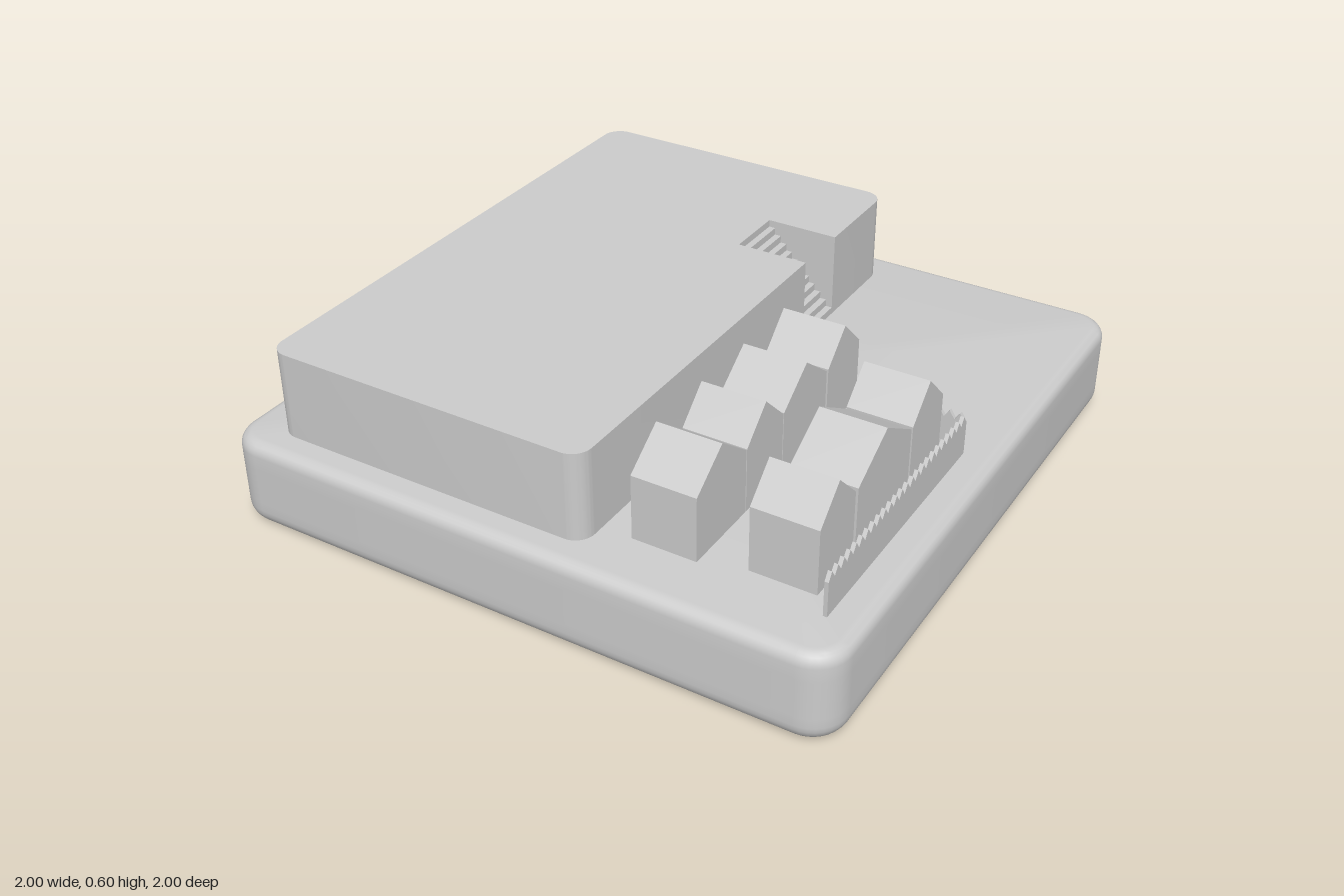
import * as THREE from 'three';
import { toCreasedNormals } from 'three/addons/utils/BufferGeometryUtils.js';

const BASE_TOP = 0.295;
const PLATEAU_TOP = 0.575;
const material = new THREE.MeshStandardMaterial({ color: 0xcccccc });

function addMesh(parent, name, geometry) {
  const mesh = new THREE.Mesh(geometry, material);
  mesh.name = name;
  parent.add(mesh);
  return mesh;
}

const extrude = (shape, depth) =>
  new THREE.ExtrudeGeometry(shape, { depth, bevelEnabled: false, curveSegments: 8 });

const shapeFrom = (points) => new THREE.Shape(points.map(([x, y]) => new THREE.Vector2(x, y)));

// Rounded slab lofted from rounded-square rings, with a long slot sunk into the back
function baseGeometry() {
  const corner = 0.11, slotX = 0.85, slotLow = 0.09, slotHigh = 0.21, slotZ = -0.94, steps = 8;
  const layers = [];
  for (let i = 0; i <= 6; i++) {
    const a = (i / 6) * Math.PI / 2;
    layers.push([0.06 * (1 - Math.sin(a)), 0.06 * (1 - Math.cos(a))]);
  }
  layers.push([0, slotLow], [0, slotHigh]);
  for (let i = 0; i <= 6; i++) {
    const a = (i / 6) * Math.PI / 2;
    layers.push([0.04 * (1 - Math.cos(a)), BASE_TOP - 0.04 * (1 - Math.sin(a))]);
  }

  const ring = ([inset, y]) => {
    const points = [];
    for (let c = 0; c < 4; c++) {
      const cx = c === 0 || c === 3 ? 1 : -1, cz = c < 2 ? 1 : -1;
      for (let i = 0; i <= steps; i++) {
        const a = (c + i / steps) * Math.PI / 2;
        points.push([cx * (1 - corner) + (corner - inset) * Math.cos(a), y,
          cz * (1 - corner) + (corner - inset) * Math.sin(a)]);
      }
      if (c === 2) points.push([-slotX, y, -1 + inset], [slotX, y, -1 + inset]);
    }
    return points;
  };
  const rings = layers.map(ring);
  const n = rings[0].length, slotIndex = 3 * (steps + 1);
  const positions = [];
  const triangle = (a, b, c) => positions.push(...a, ...b, ...c);
  const quad = (a, b, c, d) => { triangle(a, b, c); triangle(a, c, d); };

  for (let k = 0; k < rings.length - 1; k++) {
    for (let i = 0; i < n; i++) {
      if (i === slotIndex && layers[k][1] === slotLow) continue;
      const j = (i + 1) % n;
      quad(rings[k][i], rings[k + 1][i], rings[k + 1][j], rings[k][j]);
    }
  }
  // flat underside and top
  const last = rings[rings.length - 1];
  for (let i = 0; i < n; i++) {
    const j = (i + 1) % n;
    triangle([0, 0, 0], rings[0][i], rings[0][j]);
    triangle([0, BASE_TOP, 0], last[j], last[i]);
  }
  // inside of the slot: floor, ceiling, ends, back wall
  const p = (x, y, z) => [x, y, z];
  const [l, r, d, u, o, s] = [-slotX, slotX, slotLow, slotHigh, -1, slotZ];
  quad(p(l, d, o), p(l, d, s), p(r, d, s), p(r, d, o));
  quad(p(l, u, o), p(r, u, o), p(r, u, s), p(l, u, s));
  quad(p(l, d, o), p(l, u, o), p(l, u, s), p(l, d, s));
  quad(p(r, d, o), p(r, d, s), p(r, u, s), p(r, u, o));
  quad(p(l, d, s), p(l, u, s), p(r, u, s), p(r, d, s));

  const geometry = new THREE.BufferGeometry();
  geometry.setAttribute('position', new THREE.Float32BufferAttribute(positions, 3));
  return toCreasedNormals(geometry, Math.PI / 5);
}

// Raised block with rounded corners and a notch for the stairs (shape y is -z)
function plateauGeometry() {
  const x0 = -0.87, x1 = 0.2, z = 0.905, r = 0.06;
  const s = new THREE.Shape();
  s.moveTo(x0 + r, -z);
  s.lineTo(x1 - r, -z);
  s.absarc(x1 - r, -z + r, r, -Math.PI / 2, 0);
  s.lineTo(x1, 0.35);
  s.lineTo(-0.06, 0.35);
  s.lineTo(-0.06, 0.55);
  s.lineTo(x1, 0.55);
  s.absarc(x1 - r, z - r, r, 0, Math.PI / 2);
  s.absarc(x0 + r, z - r, r, Math.PI / 2, Math.PI);
  s.absarc(x0 + r, -z + r, r, Math.PI, Math.PI * 1.5);
  const geometry = extrude(s, PLATEAU_TOP - BASE_TOP);
  geometry.rotateX(-Math.PI / 2);
  geometry.translate(0, BASE_TOP, 0);
  return toCreasedNormals(geometry, Math.PI / 5);
}

// Steps climbing from the right edge of the plateau toward its middle
function stairGeometry() {
  const count = 12, x0 = -0.06, x1 = 0.2;
  const run = (x1 - x0) / count, rise = (PLATEAU_TOP - BASE_TOP) / count;
  const points = [[x0, BASE_TOP], [x1, BASE_TOP]];
  for (let i = 0; i < count; i++) {
    points.push([x1 - i * run, BASE_TOP + (i + 1) * rise]);
    points.push([x1 - (i + 1) * run, BASE_TOP + (i + 1) * rise]);
  }
  return extrude(shapeFrom(points), 0.2).translate(0, 0, -0.55);
}

// Gabled house whose ridge runs along x
function houseGeometry(x, width, z0, z1) {
  const shape = shapeFrom([[-z1, BASE_TOP], [-z0, BASE_TOP], [-z0, 0.5],
    [-(z0 + z1) / 2, 0.597], [-z1, 0.5]]);
  return extrude(shape, width).rotateY(Math.PI / 2).translate(x, 0, 0);
}

// Fence panel along x with a saw-tooth top
function fenceGeometry(length, teeth) {
  const points = [[0, BASE_TOP], [length, BASE_TOP]];
  for (let i = teeth; i > 0; i--) {
    points.push([i * length / teeth, 0.405], [(i - 0.5) * length / teeth, 0.43]);
  }
  points.push([0, 0.405]);
  return extrude(shapeFrom(points), 0.012).translate(0, 0, -0.006);
}

export function createModel() {
  const model = new THREE.Group();
  model.name = 'villageBoard';
  addMesh(model, 'base', baseGeometry());
  addMesh(model, 'plateau', plateauGeometry());
  addMesh(model, 'stairs', stairGeometry());

  // two rows of houses
  const rows = [
    { name: 'innerRow', x: 0.295, spans: [[-0.13, 0.07], [0.08, 0.338], [0.342, 0.546], [0.55, 0.81]] },
    { name: 'outerRow', x: 0.632, spans: [[0.02, 0.22], [0.23, 0.555], [0.57, 0.77]] },
  ];
  for (const { name, x, spans } of rows) {
    const row = new THREE.Group();
    row.name = name;
    for (const [z0, z1] of spans) addMesh(row, 'house', houseGeometry(x, 0.203, z0, z1));
    model.add(row);
  }

  // L-shaped fence around the outer row
  const fence = new THREE.Group();
  fence.name = 'fence';
  addMesh(fence, 'backFence', fenceGeometry(0.295, 9)).position.set(0.6, 0, -0.02);
  const side = addMesh(fence, 'sideFence', fenceGeometry(0.855, 25));
  side.rotation.y = -Math.PI / 2;
  side.position.set(0.89, 0, -0.02);
  model.add(fence);
  return model;
}
